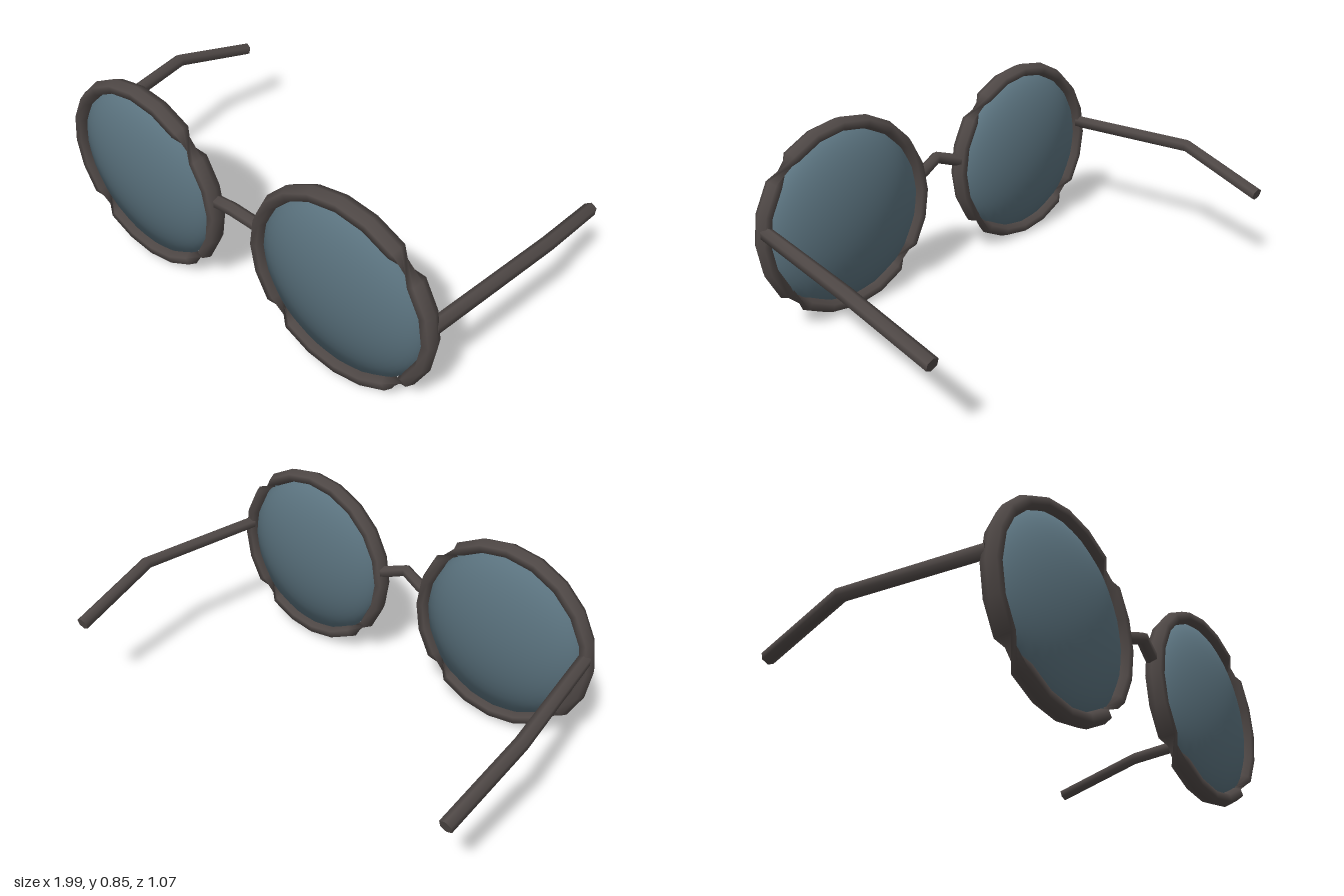
import * as THREE from 'three';

const SIDES = 6;

// Hexagonal cross-section round a centre, spanned by u and v
function section(centre, u, v, a, b, turn = 0) {
  return Array.from({ length: SIDES }, (_, k) => {
    const t = (k / SIDES) * Math.PI * 2 + turn;
    return centre.clone().addScaledVector(u, a * Math.cos(t)).addScaledVector(v, b * Math.sin(t));
  });
}

// Skin a row of cross-sections, either closed into a loop or capped
function loft(sections, closed) {
  const pos = [], index = [];
  const push = (p) => pos.push(p.x, p.y, p.z) / 3 - 1;
  sections.forEach((s) => s.forEach(push));
  const n = sections.length;
  for (let i = 0; i < (closed ? n : n - 1); i++) {
    for (let k = 0; k < SIDES; k++) {
      const a = i * SIDES + k, b = i * SIDES + ((k + 1) % SIDES);
      const j = ((i + 1) % n) * SIDES;
      const c = j + ((k + 1) % SIDES), d = j + k;
      index.push(a, b, c, a, c, d);
    }
  }
  if (!closed) {
    [sections[0], sections[n - 1]].forEach((s, end) => {
      const ids = s.map(push);
      for (let k = 1; k < SIDES - 1; k++) {
        if (end) index.push(ids[0], ids[k], ids[k + 1]);
        else index.push(ids[0], ids[k + 1], ids[k]);
      }
    });
  }
  const g = new THREE.BufferGeometry();
  g.setAttribute('position', new THREE.Float32BufferAttribute(pos, 3));
  g.setIndex(index);
  g.computeVertexNormals();
  return g;
}

// Bent rod through a few points
function rod(points, radius) {
  const pts = points.map((p) => new THREE.Vector3(...p));
  const up = new THREE.Vector3(0, 1, 0);
  return loft(pts.map((p, i) => {
    const before = p.clone().sub(pts[Math.max(i - 1, 0)]).normalize();
    const after = pts[Math.min(i + 1, pts.length - 1)].clone().sub(p).normalize();
    const dir = before.add(after).normalize();
    const u = up.clone().addScaledVector(dir, -up.dot(dir)).normalize();
    return section(p, u, dir.clone().cross(u), radius, radius);
  }), false);
}

// Round rim whose hexagonal section makes a third of a turn at three pinches
function rimGeometry() {
  const STEPS = 20, pinches = [3, 13, 18], sections = [];
  const back = new THREE.Vector3(0, 0, -1);
  let turn = 0;
  for (let i = 0; i < STEPS; i++) {
    if (pinches.includes(i)) turn += (Math.PI * 2) / 3;
    const t = (i / STEPS) * Math.PI * 2;
    const out = new THREE.Vector3(Math.cos(t), Math.sin(t), 0);
    // keep the section's proportions fixed while its corners advance
    sections.push(section(out.clone().multiplyScalar(0.393), out, back, 0.03, 0.0405, turn));
  }
  return loft(sections, true);
}

// Softly domed lens, shallow enough to sit inside the rim
function lensGeometry() {
  const g = new THREE.SphereGeometry(0.375, 40, 24);
  g.rotateX(Math.PI / 2);
  g.scale(1, 1, 0.45);
  const p = g.attributes.position;
  for (let i = 0; i < p.count; i++) p.setZ(i, p.getZ(i) * 0.17);
  return g;
}

export function createModel() {
  const frame = new THREE.MeshStandardMaterial({ color: 0x4f4846 });
  frame.name = 'dark frame';
  const glass = new THREE.MeshStandardMaterial({ color: 0x5a727e });
  glass.name = 'blue grey glass';

  const model = new THREE.Group();
  model.name = 'glasses';
  const add = (name, geometry, material, x = 0, y = 0, z = 0) => {
    const mesh = new THREE.Mesh(geometry, material);
    mesh.name = name;
    mesh.position.set(x, y, z);
    model.add(mesh);
  };

  const rim = rimGeometry(), lens = lensGeometry();
  for (const [side, s] of [['left', 1], ['right', -1]]) {
    add(side + 'Rim', rim, frame, s * 0.508, 0.424, 0.49);
    add(side + 'Lens', lens, glass, s * 0.508, 0.424, 0.49);
    // temple arm: out to the bend, then in and down behind the ear
    add(side + 'Temple', rod([
      [s * 0.893, 0.478, 0.47],
      [s * 0.972, 0.487, -0.13],
      [s * 0.942, 0.375, -0.535],
    ], 0.029), frame);
  }

  // Bridge, raised and pushed forward in the middle
  add('bridge', rod([
    [-0.14, 0.486, 0.482], [-0.1, 0.494, 0.486], [0, 0.528, 0.508],
    [0.1, 0.494, 0.486], [0.14, 0.486, 0.482],
  ], 0.027), frame);

  return model;
}
